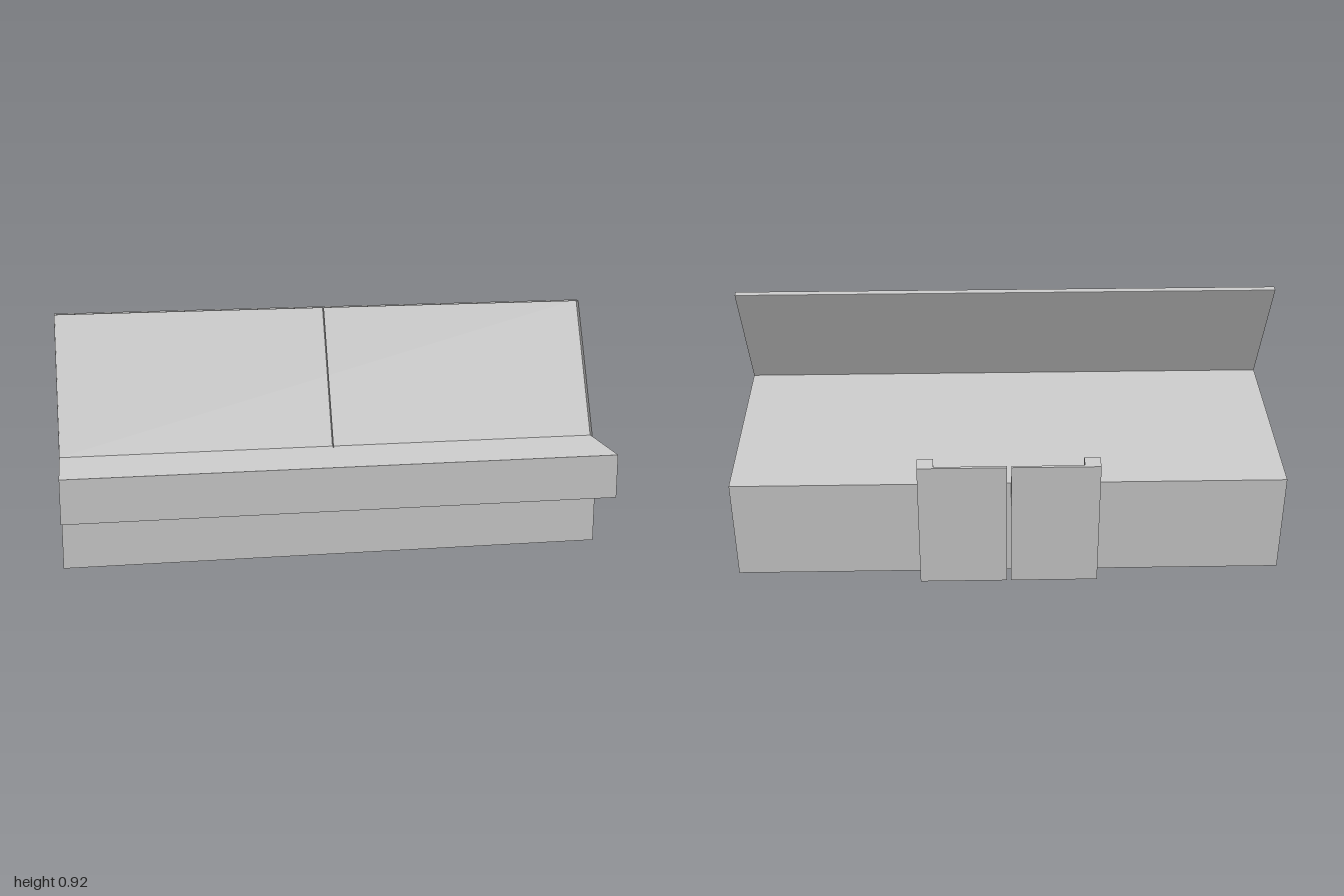
import * as THREE from 'three';

const material = new THREE.MeshStandardMaterial({ color: 0xcccccc, flatShading: true, side: THREE.DoubleSide });

export function createModel() {
  const model = new THREE.Group();
  model.name = 'counter';

  function add(name, geometry) {
    const mesh = new THREE.Mesh(geometry, material);
    mesh.name = name;
    model.add(mesh);
    return mesh;
  }

  // Box given by its limits on each axis
  function box(name, x0, x1, y0, y1, z0, z1) {
    const g = new THREE.BoxGeometry(x1 - x0, y1 - y0, z1 - z0);
    g.translate((x0 + x1) / 2, (y0 + y1) / 2, (z0 + z1) / 2);
    return add(name, g);
  }

  // Side profile of [z, y] points, extruded along x from x0 to x1
  function profile(name, points, x0, x1) {
    const shape = new THREE.Shape(points.map(([z, y]) => new THREE.Vector2(z, y)));
    const g = new THREE.ExtrudeGeometry(shape, { depth: x1 - x0, bevelEnabled: false });
    g.rotateY(-Math.PI / 2);
    g.translate(x1, 0, 0);
    return add(name, g);
  }

  // Body with overhanging front ledge; the ends carry a stepped cutout
  const upper = [[0.31, 0.04], [0.31, 0.275], [0.532, 0.275], [0.532, 0.436], [-0.515, 0.436], [-0.515, 0.04]];
  const cutout = [[0.13, 0.04], [0.13, 0.055], [0.155, 0.055], [0.155, 0.07], [0.178, 0.07], [0.178, 0.08],
    [0.2, 0.08], [0.2, 0.19], [0.264, 0.19], [0.264, 0.08], [0.27, 0.08], [0.27, 0.04]];
  const inner = 0.94;
  profile('body', upper, -inner, inner);
  profile('leftEnd', [...upper, ...cutout], inner, 1);
  profile('rightEnd', [...upper, ...cutout], -1, -inner);

  // Leaning backboard: an open-fronted tray with top rim, two sides and a divider
  const t = 0.002;
  const lean = (name, points, x0, x1) => profile(name, points, x0, x1);
  lean('backboard', [[0.235, 0.436], [0.235 + t, 0.436], [0.01 + t, 0.923], [0.01, 0.923]], -1, 1);
  box('backboardRim', -1, 1, 0.923 - t, 0.923, 0.01, 0.036);
  const fin = [[0.235, 0.436], [0.261, 0.436], [0.036, 0.923], [0.01, 0.923]];
  for (const x of [-1 + t / 2, 0, 1 - t / 2]) lean('backboardFin', fin, x - t / 2, x + t / 2);

  // Rear doors, hooked over the top and bottom edges of the body
  for (const s of [-1, 1]) {
    const span = (name, a, b, y0, y1, z0, z1) =>
      box(name, Math.min(s * a, s * b), Math.max(s * a, s * b), y0, y1, z0, z1);
    span('rearDoor', 0.008, 0.328, 0.003, 0.517, -0.534, -0.524);
    span('doorEdge', 0.27, 0.328, 0.003, 0.517, -0.525, -0.514);
    span('topHook', 0.27, 0.328, 0.436, 0.517, -0.525, -0.475);
    span('bottomHook', 0.27, 0.328, 0.003, 0.04, -0.525, -0.475);

    // Thin strips below the floor and small tabs below the ledge
    span('floorStrip', 0.765, 0.775, 0.037, 0.041, -0.325, -0.045);
    span('ledgeTab', 0.95, 1, 0.268, 0.276, 0.31, 0.34);
  }
  box('middleLedgeTab', -0.07, 0.06, 0.268, 0.276, 0.31, 0.34);

  return model;
}
